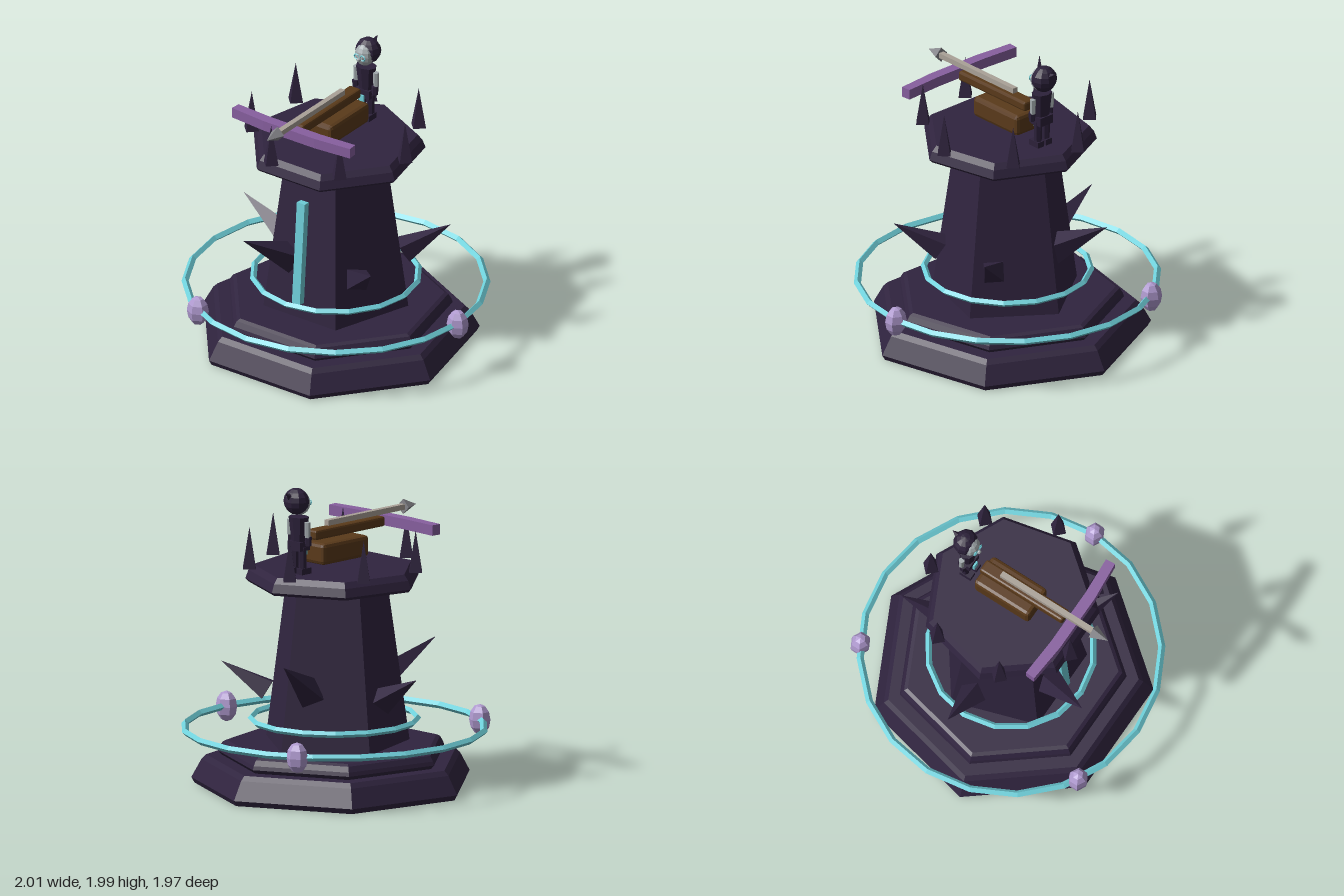
import * as THREE from 'three';
import { RoundedBoxGeometry } from 'three/addons/geometries/RoundedBoxGeometry.js';

const paint = (name, color) => {
  const m = new THREE.MeshStandardMaterial({ color });
  m.name = name;
  return m;
};

// Faceted normals for the low-poly look
function facet(geometry) {
  const g = geometry.index ? geometry.toNonIndexed() : geometry;
  g.computeVertexNormals();
  return g;
}

export function createModel() {
  const stone = paint('dark violet stone', 0x30243f);
  const cyan = paint('glowing cyan', 0x6fd0da);
  const lilac = paint('lilac crystal', 0xb09ad0);
  const purple = paint('purple bow', 0x875f9f);
  const wood = paint('brown wood', 0x5a3a1a);
  const shaftGrey = paint('warm grey', 0xaaa298);
  const steel = paint('steel', 0x85858a);
  const skin = paint('pale skin', 0xa3abae);
  const cloth = paint('dark cloth', 0x2c213a);

  const model = new THREE.Group();
  model.name = 'ballistaTower';
  const tower = new THREE.Group();
  tower.name = 'tower';
  tower.position.x = -0.02;
  model.add(tower);

  function add(name, geometry, material, x = 0, y = 0, z = 0, parent = tower) {
    const mesh = new THREE.Mesh(facet(geometry), material);
    mesh.name = name;
    mesh.position.set(x, y, z);
    parent.add(mesh);
    return mesh;
  }

  // Polygonal block with one corner pointing back; profile is [radius, height] pairs
  function block(name, sides, profile) {
    const pts = profile.map(([r, y]) => new THREE.Vector2(r, y));
    pts.unshift(new THREE.Vector2(0, profile[0][1]));
    pts.push(new THREE.Vector2(0, profile[profile.length - 1][1]));
    add(name, new THREE.LatheGeometry(pts, sides, Math.PI), stone);
  }

  // Four-sided spike from a base centre to a tip
  function spike(name, base, tip, radius, material, parent = tower) {
    const a = new THREE.Vector3(...base), b = new THREE.Vector3(...tip);
    const dir = b.clone().sub(a);
    const m = add(name, new THREE.ConeGeometry(radius, dir.length(), 4), material, 0, 0, 0, parent);
    m.position.copy(a).add(b).multiplyScalar(0.5);
    m.quaternion.setFromUnitVectors(new THREE.Vector3(0, 1, 0), dir.normalize());
    return m;
  }

  // Stone tiers
  block('basePlinth', 7, [[0.895, 0], [0.915, 0.035], [0.85, 0.155], [0.82, 0.185]]);
  block('upperPlinth', 7, [[0.72, 0.185], [0.743, 0.21], [0.735, 0.235], [0.715, 0.27], [0.69, 0.283]]);
  block('towerBody', 5, [[0.485, 0.28], [0.345, 1.285], [0.325, 1.32]]);
  block('platform', 7, [[0.55, 1.315], [0.57, 1.335], [0.55, 1.39], [0.52, 1.427]]);

  // Glowing rings
  for (const [name, r, tube, y, n] of [
    ['outerRing', 0.96, 0.023, 0.378, 20], ['innerRing', 0.532, 0.021, 0.44, 16]]) {
    const g = new THREE.TorusGeometry(r, tube, 4, n);
    g.rotateX(Math.PI / 2);
    g.rotateY(Math.PI / 2);
    add(name, g, cyan, 0, y, 0);
  }

  // Orbiting crystals on the outer ring
  for (let i = 0; i < 3; i++) {
    const a = (i * Math.PI * 2) / 3;
    const g = new THREE.SphereGeometry(1, 6, 6);
    g.rotateY(Math.PI / 6);
    g.scale(0.073, 0.1, 0.066);
    add('crystal', g, lilac, 0.96 * Math.cos(a), 0.375, 0.96 * Math.sin(a));
  }

  // Battlement spikes around the platform
  for (let i = 0; i < 7; i++) {
    const a = (i * Math.PI * 2) / 7;
    const x = 0.545 * Math.cos(a), z = 0.545 * Math.sin(a);
    spike('battlementSpike', [x, 1.425, z], [x, 1.695, z], 0.058, stone);
  }

  // Thorns jutting from the body: two longer ones among five
  for (let i = 0; i < 5; i++) {
    const a = Math.PI + (i * Math.PI * 2) / 5;
    const long = i === 1 || i === 4;
    const [r0, y0, y1, w] = long ? [0.34, 0.66, 0.9, 0.105] : [0.43, 0.61, 0.79, 0.09];
    const c = Math.cos(a), s = Math.sin(a);
    spike('thorn', [r0 * c, y0, r0 * s], [0.73 * c, y1, 0.73 * s], w, stone);
  }

  // Glowing strip up the front face
  add('glowStrip', new THREE.BoxGeometry(0.062, 0.705, 0.046), cyan, 0, 0.752, 0.383).rotation.x = -0.075;

  // Ballista
  const ballista = new THREE.Group();
  ballista.name = 'ballista';
  tower.add(ballista);
  add('stockBlock', new RoundedBoxGeometry(0.225, 0.14, 0.42, 1, 0.025), wood, 0, 1.543, -0.003, ballista);
  add('rail', new RoundedBoxGeometry(0.09, 0.065, 0.63, 1, 0.014), wood, 0, 1.66, 0.103, ballista);
  const bow = new THREE.Shape();
  [[-0.46, 0.42], [-0.2, 0.436], [0.2, 0.436], [0.46, 0.42], [0.465, 0.485], [0.2, 0.508], [-0.2, 0.508], [-0.465, 0.485]]
    .forEach(([x, z], i) => (i ? bow.lineTo(x, z) : bow.moveTo(x, z)));
  const bowGeometry = new THREE.ExtrudeGeometry(bow, { depth: 0.068, bevelEnabled: false });
  bowGeometry.rotateX(Math.PI / 2);
  add('bow', bowGeometry, purple, 0, 1.694, 0, ballista);
  add('boltShaft', new THREE.BoxGeometry(0.037, 0.035, 0.7), shaftGrey, 0, 1.718, 0.277, ballista);
  spike('boltHead', [0, 1.718, 0.625], [0, 1.718, 0.742], 0.05, steel, ballista);

  // Gunner standing behind the ballista
  const gunner = new THREE.Group();
  gunner.name = 'gunner';
  gunner.position.set(0, 0, -0.325);
  tower.add(gunner);
  const torso = new THREE.CylinderGeometry(0.072, 0.05, 0.17, 8);
  torso.scale(1, 1, 0.8);
  add('torso', torso, cloth, 0, 1.712, 0, gunner);
  add('hips', new THREE.BoxGeometry(0.11, 0.06, 0.09), cloth, 0, 1.61, 0, gunner);
  add('beltLight', new THREE.BoxGeometry(0.04, 0.06, 0.012), cyan, 0, 1.575, 0.052, gunner);
  for (const s of [-1, 1]) {
    add('leg', new THREE.CylinderGeometry(0.028, 0.024, 0.17, 6), cloth, s * 0.034, 1.52, 0, gunner);
    add('boot', new THREE.BoxGeometry(0.052, 0.04, 0.085), cloth, s * 0.034, 1.446, 0.012, gunner);
    add('upperArm', new THREE.CylinderGeometry(0.02, 0.018, 0.1, 6), skin, s * 0.078, 1.72, 0, gunner);
    add('glove', new THREE.CylinderGeometry(0.023, 0.02, 0.06, 6), cloth, s * 0.076, 1.645, 0.01, gunner);
    const lens = new THREE.TorusGeometry(0.018, 0.005, 4, 8);
    add('goggleRim', lens, cyan, s * 0.024, 1.885, 0.072, gunner);
  }
  const face = new THREE.SphereGeometry(1, 10, 8);
  face.scale(0.066, 0.078, 0.066);
  add('face', face, skin, 0, 1.885, 0.012, gunner);
  add('nose', new THREE.SphereGeometry(0.016, 6, 5), skin, 0, 1.872, 0.08, gunner);
  const hair = new THREE.SphereGeometry(1, 10, 8);
  hair.scale(0.086, 0.086, 0.078);
  add('hair', hair, cloth, 0, 1.9, -0.022, gunner);
  spike('hairTuft', [0, 1.92, -0.06], [0, 1.965, -0.122], 0.035, cloth, gunner);

  return model;
}
